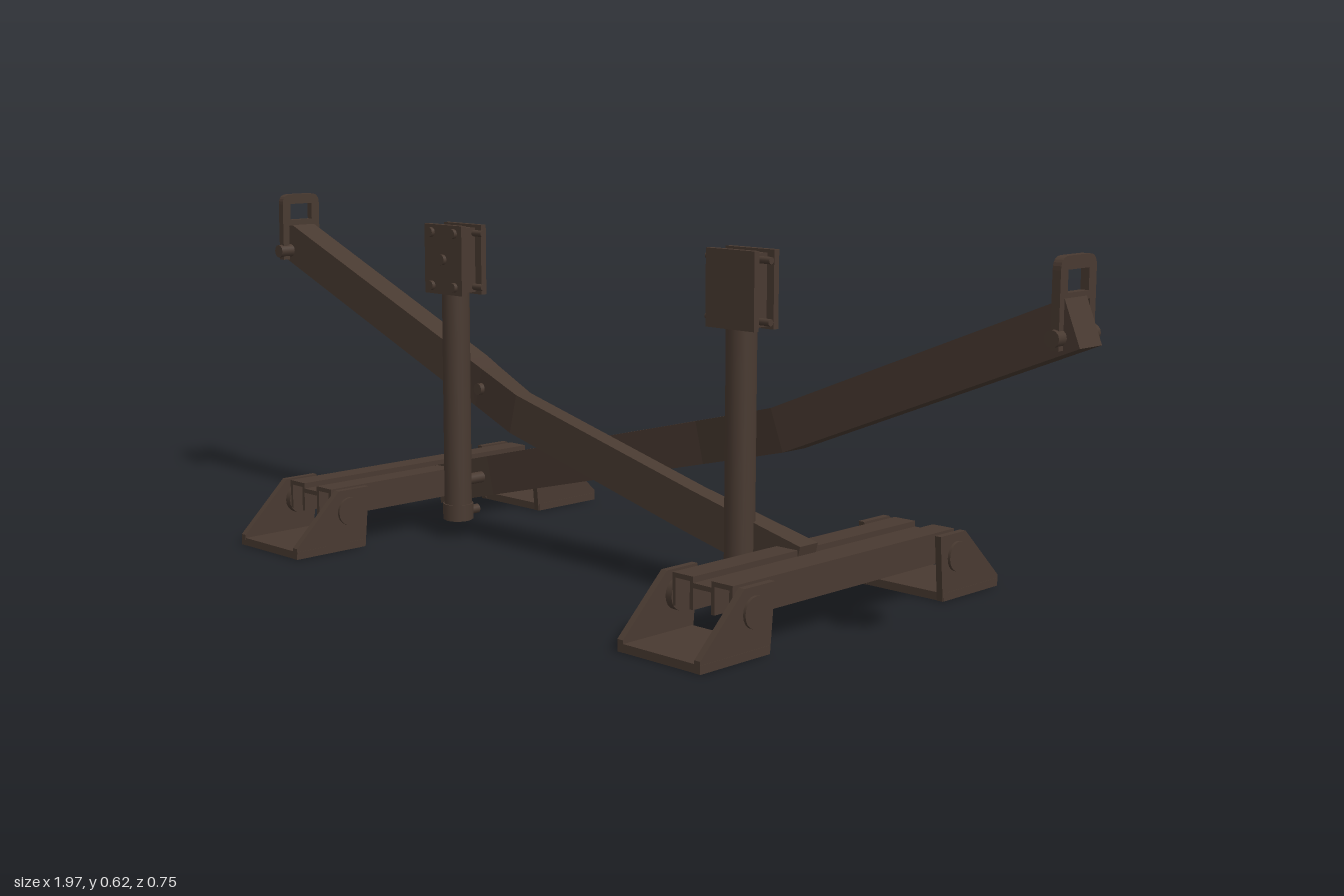
import * as THREE from 'three';

export function createModel() {
  const model = new THREE.Group();
  const steel = new THREE.MeshStandardMaterial({ color: 0x493a31 });
  steel.name = 'dark brown steel';

  const add = (name, geometry, parent, x = 0, y = 0, z = 0) => {
    const mesh = new THREE.Mesh(geometry, steel);
    mesh.name = name;
    mesh.position.set(x, y, z);
    parent.add(mesh);
    return mesh;
  };
  const group = (name, x = 0, y = 0, z = 0) => {
    const g = new THREE.Group();
    g.name = name;
    g.position.set(x, y, z);
    model.add(g);
    return g;
  };
  const box = (name, w, h, d, parent, x, y, z) => add(name, new THREE.BoxGeometry(w, h, d), parent, x, y, z);
  const bolt = (name, axis, r, length, parent, x, y, z, sides = 12) => {
    const g = new THREE.CylinderGeometry(r, r, length, sides);
    if (axis === 'x') g.rotateZ(Math.PI / 2);
    if (axis === 'z') g.rotateX(Math.PI / 2);
    return add(name, g, parent, x, y, z);
  };
  // Plate drawn in (z, y) and given thickness along x, centred
  const sidePlate = (shape, thickness) => new THREE.ExtrudeGeometry(shape, { depth: thickness, bevelEnabled: false, curveSegments: 6 })
    .translate(0, 0, -thickness / 2).rotateY(-Math.PI / 2);

  // Rectangular beam swept along points [x, y, z, width], with mitred bends
  function beamGeometry(points, height) {
    const rings = points.map((p, i) => {
      const a = points[Math.max(i - 1, 0)], b = points[Math.min(i + 1, points.length - 1)];
      const n = new THREE.Vector2(a[1] - b[1], b[0] - a[0]).normalize().multiplyScalar(height / 2);
      return [[1, 1], [-1, 1], [-1, -1], [1, -1]].map(([u, w]) => [p[0] + u * n.x, p[1] + u * n.y, p[2] + w * p[3] / 2]);
    });
    const out = [];
    const quad = (a, b, c, d) => out.push(...a, ...b, ...c, ...a, ...c, ...d);
    for (let i = 0; i < rings.length - 1; i++) {
      for (let j = 0; j < 4; j++) {
        const k = (j + 1) % 4;
        quad(rings[i][j], rings[i][k], rings[i + 1][k], rings[i + 1][j]);
      }
    }
    const s = rings[0], e = rings[rings.length - 1];
    quad(s[0], s[3], s[2], s[1]);
    quad(e[0], e[1], e[2], e[3]);
    const g = new THREE.BufferGeometry();
    g.setAttribute('position', new THREE.Float32BufferAttribute(out, 3));
    g.computeVertexNormals();
    return g;
  }

  // Two crossing bent arms
  add('rightArm', beamGeometry([
    [-0.973, 0.53, -0.03, 0.055], [-0.4, 0.303, -0.022, 0.05], [-0.35, 0.287, -0.014, 0.045],
    [-0.22, 0.255, 0.02, 0.036], [0.22, 0.143, 0.02, 0.036], [0.46, 0.083, 0.01, 0.045],
  ], 0.075), model);
  add('leftArm', beamGeometry([
    [-0.5, 0.075, -0.038, 0.05], [-0.35, 0.113, -0.041, 0.045], [0.2, 0.25, -0.036, 0.042],
    [0.3, 0.275, -0.022, 0.046], [0.42, 0.306, 0.01, 0.055], [0.973, 0.53, 0.016, 0.057],
  ], 0.075), model);

  // Floor stands: two channels on a pair of open bracket feet
  const footSide = new THREE.Shape([[0.21, 0.113], [0.22, 0], [0.377, 0], [0.377, 0.02], [0.28, 0.113]]
    .map(([z, y]) => new THREE.Vector2(z, y)));
  for (const [name, x] of [['rightStand', -0.52], ['leftStand', 0.483]]) {
    const stand = group(name, x);
    for (const s of [-1, 1]) {
      box('railTop', 0.044, 0.008, 0.56, stand, s * 0.041, 0.109, 0);
      for (const e of [-1, 1]) box('railFlange', 0.007, 0.053, 0.56, stand, s * 0.041 + e * 0.0185, 0.0865, 0);
      const foot = new THREE.Group();
      foot.name = s > 0 ? 'frontFoot' : 'rearFoot';
      foot.rotation.y = s > 0 ? 0 : Math.PI;
      stand.add(foot);
      box('footSole', 0.175, 0.014, 0.155, foot, 0, 0.007, 0.299);
      for (const e of [-1, 1]) {
        add('footSide', sidePlate(footSide, 0.012), foot, e * 0.081, 0, 0);
        bolt('footBolt', 'x', 0.026, 0.03, foot, e * 0.077, 0.073, 0.257, 20);
      }
    }
    box('railWeb', 0.04, 0.008, 0.56, stand, 0, 0.099, 0);
  }

  // Upright posts with clamp heads; bolt heads face opposite ways
  for (const [name, x, facing] of [['rightPost', -0.375, 1], ['leftPost', 0.345, -1]]) {
    const post = group(name, x, 0, 0.041);
    bolt('postTube', 'y', 0.026, 0.45, post, 0, 0.258, 0, 20);
    bolt('postCollar', 'y', 0.029, 0.03, post, 0, 0.05, 0, 20);
    bolt('postFootPin', 'z', 0.009, 0.06, post, 0, 0.047, -0.018);
    box('clampCore', 0.088, 0.12, 0.022, post, 0, 0.532, 0);
    for (const s of [-1, 1]) box('clampPlate', 0.106, 0.13, 0.012, post, 0, 0.532, s * 0.024);
    for (const y of [0.482, 0.582]) {
      bolt('clampRod', 'x', 0.006, 0.14, post, 0, y, -0.008 * facing);
      for (const sx of [-1, 1]) bolt('clampBolt', 'z', 0.009, 0.01, post, sx * 0.032, y, facing * 0.032);
    }
    bolt('clampCentreBolt', 'z', 0.01, 0.01, post, 0, 0.532, facing * 0.032);
    // bolts that fix the arms to the post
    const upper = facing > 0 ? 0.295 : 0.287, lower = facing > 0 ? 0.107 : 0.112;
    for (const sx of [-1, 1]) bolt('armBolt', 'z', 0.011, 0.072, post, sx * 0.037, upper - facing * sx * 0.009, -0.055);
    bolt('lowerArmBolt', 'z', 0.011, 0.1, post, 0, lower, -0.045);
  }

  // Lifting loops straddling the arm tips
  const loop = new THREE.Shape();
  loop.moveTo(-0.046, 0.49);
  loop.lineTo(-0.031, 0.49);
  loop.lineTo(-0.031, 0.56);
  loop.lineTo(0.031, 0.56);
  loop.lineTo(0.031, 0.49);
  loop.lineTo(0.046, 0.49);
  loop.lineTo(0.046, 0.605);
  loop.quadraticCurveTo(0.046, 0.625, 0.026, 0.625);
  loop.lineTo(-0.026, 0.625);
  loop.quadraticCurveTo(-0.046, 0.625, -0.046, 0.605);
  const eye = new THREE.Path([[-0.027, 0.572], [-0.027, 0.605], [0.027, 0.605], [0.027, 0.572]]
    .map(([z, y]) => new THREE.Vector2(z, y)));
  loop.holes.push(eye);
  for (const [name, x, z] of [['rightLoop', -0.956, -0.025], ['leftLoop', 0.952, 0.01]]) {
    const end = group(name, x, 0, z);
    add('loopPlate', sidePlate(loop, 0.014), end);
    bolt('loopPin', 'z', 0.013, 0.108, end, 0, 0.508, 0);
  }

  return model;
}
